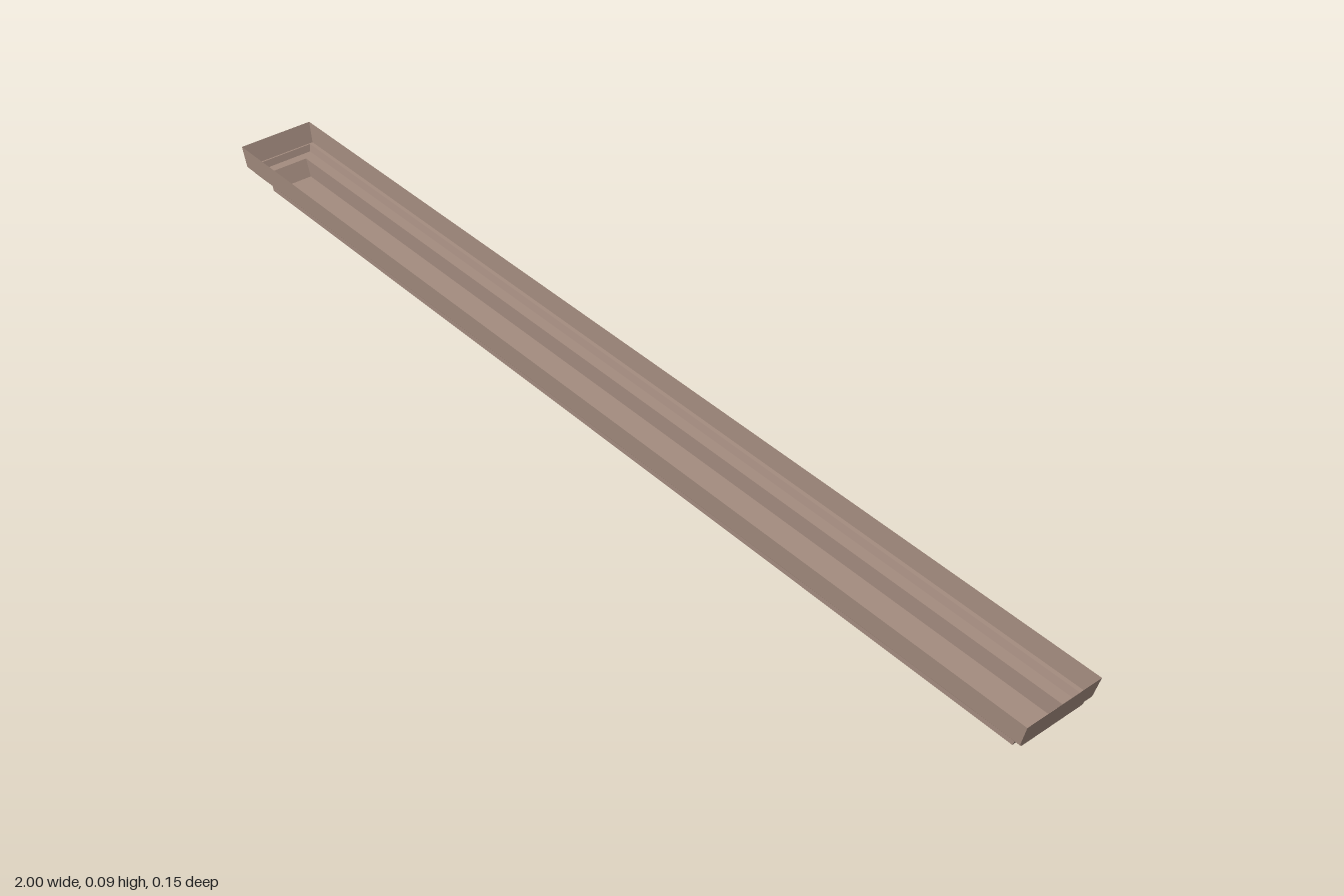
import * as THREE from 'three';

// Thin sheet lofted through rectangular rings, each [halfX, halfZ, y]
function loft(rings) {
  const corners = rings.map(([x, z, y]) => [[-x, y, z], [x, y, z], [x, y, -z], [-x, y, -z]]);
  const pos = [];
  const quad = (a, b, c, d) => pos.push(...a, ...b, ...c, ...a, ...c, ...d);
  for (let i = 0; i < corners.length - 1; i++) {
    const lo = corners[i], hi = corners[i + 1];
    for (let k = 0; k < 4; k++) {
      const n = (k + 1) % 4;
      quad(lo[k], lo[n], hi[n], hi[k]);
    }
  }
  const g = new THREE.BufferGeometry();
  g.setAttribute('position', new THREE.Float32BufferAttribute(pos, 3));
  g.computeVertexNormals();
  return g;
}

export function createModel() {
  const model = new THREE.Group();
  model.name = 'steppedTrough';
  const clay = new THREE.MeshStandardMaterial({ color: 0xa58d80, side: THREE.DoubleSide });
  clay.name = 'dusty brown';

  const add = (name, rings) => {
    const mesh = new THREE.Mesh(loft(rings), clay);
    mesh.name = name;
    model.add(mesh);
  };

  // Closed floor and the narrow lower channel
  add('lowerChannel', [[0.91, 0, 0], [0.955, 0.0425, 0], [0.967, 0.0425, 0.035]]);
  // Ledge and sloped middle step
  add('middleStep', [[0.967, 0.0425, 0.035], [0.985, 0.0635, 0.035], [0.988, 0.067, 0.049]]);
  // Ledge and flared open rim
  add('upperRim', [[0.988, 0.067, 0.049], [0.991, 0.0745, 0.049], [1, 0.0765, 0.09]]);
  return model;
}
